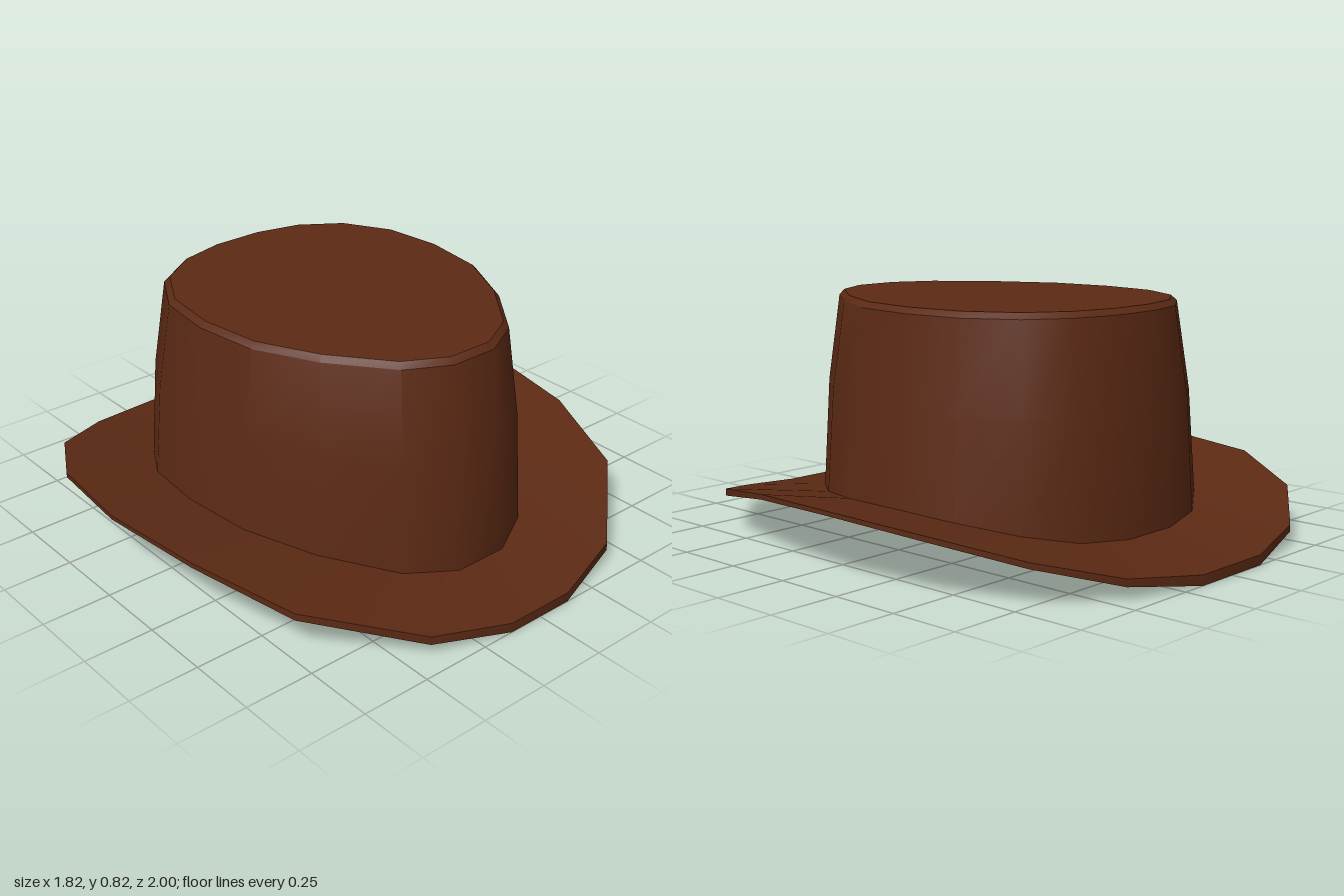
import * as THREE from 'three';
import { toCreasedNormals } from 'three/addons/utils/BufferGeometryUtils.js';

// Half outlines from back to front, mirrored into closed rings.
// Brim rows: x, z, lower edge y, upper edge y
const BRIM = [
  [0.16, -1.0, 0.005, 0.04], [0.45, -0.93, 0.05, 0.075], [0.70, -0.76, 0.125, 0.145],
  [0.86, -0.47, 0.19, 0.208], [0.91, -0.10, 0.215, 0.23], [0.855, 0.28, 0.195, 0.213],
  [0.725, 0.64, 0.13, 0.155], [0.41, 0.92, 0.045, 0.075], [0.13, 1.0, 0.005, 0.04],
];
// Crown rows: x, z, y where it meets the brim
const CROWN = [
  [0.11, -0.675, 0.085], [0.30, -0.63, 0.10], [0.465, -0.52, 0.135],
  [0.575, -0.33, 0.168], [0.605, -0.09, 0.18], [0.57, 0.17, 0.168],
  [0.45, 0.41, 0.135], [0.27, 0.635, 0.10], [0.10, 0.725, 0.085],
];

function ring(half, toPoint) {
  const right = half.map(toPoint);
  const left = right.map(([x, y, z]) => [-x, y, z]).reverse();
  return [...right, ...left];
}

const centre = (y, z) => ring(BRIM, () => [0, y, z]);

// Skin successive rings, skipping triangles that collapse at a centre point
function loft(rings) {
  const positions = [];
  const same = (p, q) => p.every((v, k) => Math.abs(v - q[k]) < 1e-6);
  const tri = (a, b, c) => {
    if (!same(a, b) && !same(b, c) && !same(a, c)) positions.push(...a, ...b, ...c);
  };
  for (let r = 0; r < rings.length - 1; r++) {
    const a = rings[r], b = rings[r + 1], n = a.length;
    for (let i = 0; i < n; i++) {
      const j = (i + 1) % n;
      tri(a[i], b[i], a[j]);
      tri(b[i], b[j], a[j]);
    }
  }
  const geometry = new THREE.BufferGeometry();
  geometry.setAttribute('position', new THREE.Float32BufferAttribute(positions, 3));
  return toCreasedNormals(geometry, 0.6);
}

export function createModel() {
  const hat = new THREE.Group();
  hat.name = 'hat';
  const felt = new THREE.MeshStandardMaterial({ color: 0x5c2a14 });
  const add = (name, rings) => {
    const mesh = new THREE.Mesh(loft(rings), felt);
    mesh.name = name;
    hat.add(mesh);
  };

  const base = ring(CROWN, ([x, z, y]) => [x, y, z]);
  const level = (sx, sz, y) => ring(CROWN, ([x, z]) => [x * sx, y, z * sz]);

  // Brim: closed underside, thin edge, upper face curled up at the sides
  add('brim', [
    centre(0.125, -0.05),
    ring(BRIM, ([x, z, low]) => [x, low, z]),
    ring(BRIM, ([x, z, , high]) => [x, high, z]),
    base,
  ]);

  // Crown: tapering wall, bevelled rim and flat top
  add('crown', [
    base,
    level(0.957, 0.965, 0.5),
    level(0.882, 0.9, 0.81),
    level(0.85, 0.872, 0.83),
    centre(0.83, 0),
  ]);

  return hat;
}
